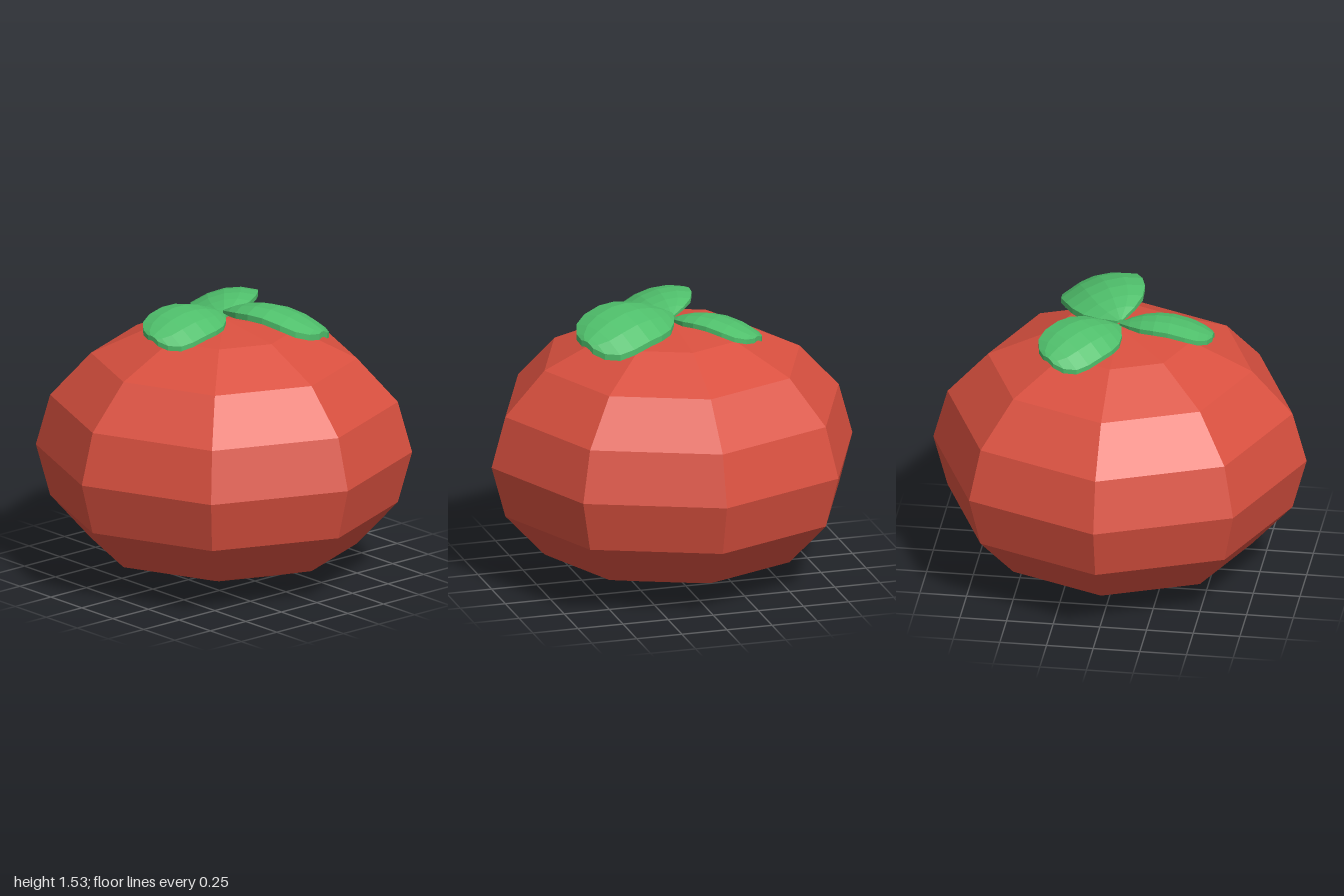
import * as THREE from 'three';

// Leaf grown along +z from its stem: a closed skin over rolled, arched cross-sections.
function leafGeometry() {
  const stations = [[0, 0.012], [0.12, 0.085], [0.25, 0.14], [0.4, 0.17], [0.56, 0.18],
    [0.74, 0.178], [0.87, 0.155], [0.96, 0.1], [1, 0.04]]; // [position, half width]
  const columns = 4, ring = 2 * (columns + 1), length = 0.5, roll = -0.2;
  const positions = [], index = [];

  for (const [t, width] of stations) {
    const spine = 0.26 * t - 0.29 * t * t;
    const thickness = 0.012 + 0.014 * Math.min(1, t * 4);
    for (let k = 0; k < ring; k++) {
      const top = k <= columns;
      const u = (top ? k : ring - 1 - k) / columns * 2 - 1;
      const x = u * width;
      const arch = 0.045 * (width / 0.18) * u * u;
      positions.push(x, spine - arch + roll * x - (top ? 0 : thickness), t * length);
    }
  }
  const last = (stations.length - 1) * ring;
  for (let i = 0; i < last; i += ring) {
    for (let j = 0; j < ring; j++) {
      const a = i + j, b = i + (j + 1) % ring;
      index.push(a, a + ring, b, b, a + ring, b + ring);
    }
  }
  // Close the stem end and the tip
  for (let j = 1; j < ring - 1; j++) {
    index.push(0, j, j + 1, last, last + j + 1, last + j);
  }
  const geometry = new THREE.BufferGeometry();
  geometry.setAttribute('position', new THREE.Float32BufferAttribute(positions, 3));
  geometry.setIndex(index);
  geometry.computeVertexNormals();
  return geometry;
}

export function createModel() {
  const model = new THREE.Group();
  const red = new THREE.MeshStandardMaterial({ color: 0xd9503f, flatShading: true });
  const green = new THREE.MeshStandardMaterial({ color: 0x4fbf6b, flatShading: true });

  // Squat eight-sided fruit
  const profile = [[0, 0], [0.383, 0.06], [0.707, 0.165], [0.924, 0.4], [1, 0.68],
    [0.924, 0.957], [0.707, 1.195], [0.383, 1.35], [0, 1.4]]
    .map(([r, y]) => new THREE.Vector2(r, y));
  const fruit = new THREE.Mesh(new THREE.LatheGeometry(profile, 8), red);
  fruit.name = 'fruit';
  model.add(fruit);

  // Three leaves meeting at the crown
  const geometry = leafGeometry();
  const leaves = [
    { name: 'frontLeaf', dir: [0, 1], size: [1, 1, 1], y: 1.435 },
    { name: 'leftLeaf', dir: [0.92, -0.39], size: [1.17, 1.25, 1.17], y: 1.45 },
    { name: 'rightLeaf', dir: [-0.75, -0.66], size: [1, 1, 1], y: 1.42 },
  ];
  for (const { name, dir, size, y } of leaves) {
    const leaf = new THREE.Mesh(geometry, green);
    leaf.name = name;
    leaf.scale.set(...size);
    leaf.rotation.y = Math.atan2(dir[0], dir[1]);
    leaf.position.y = y;
    model.add(leaf);
  }
  return model;
}
